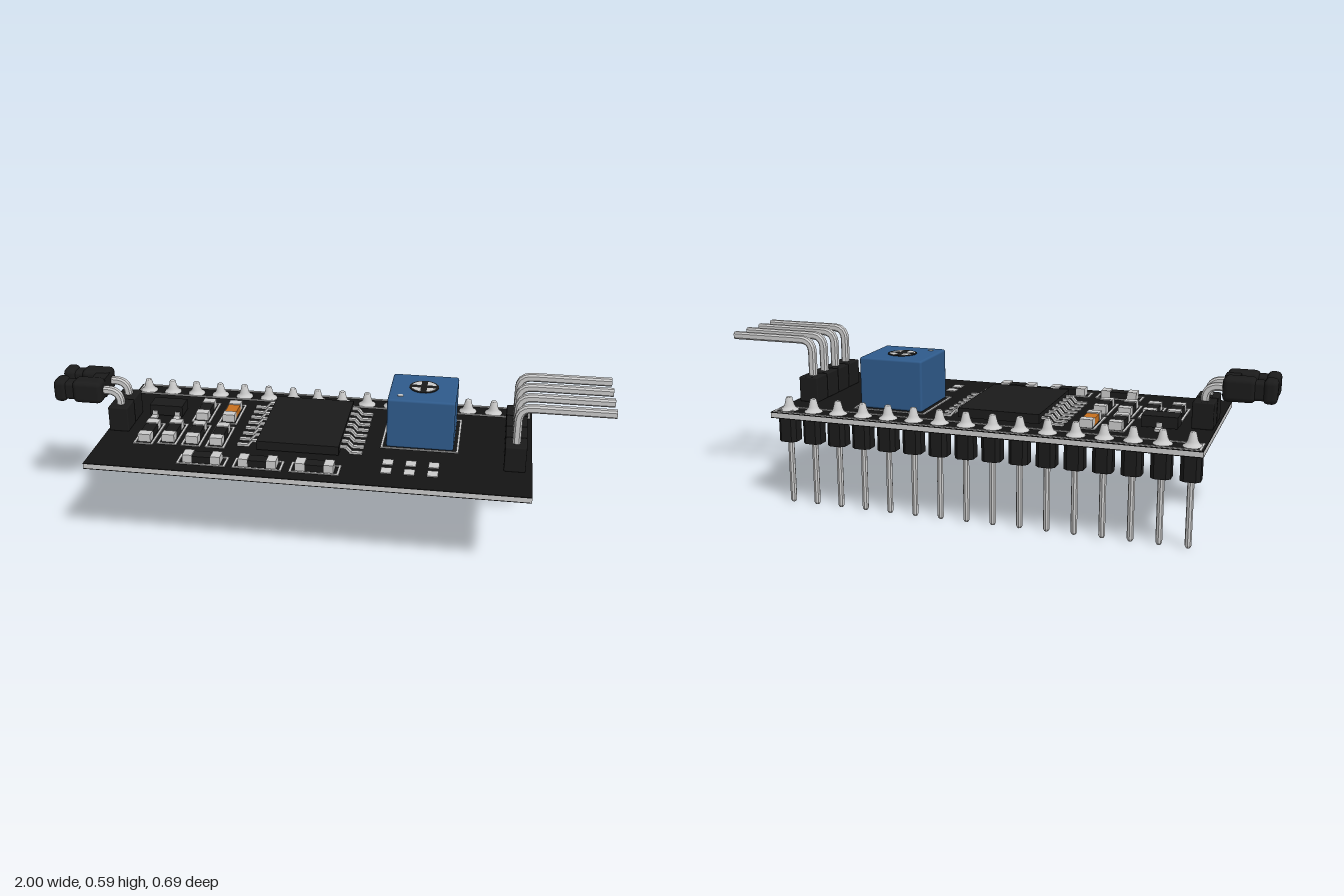
import * as THREE from 'three';
import { RoundedBoxGeometry } from 'three/addons/geometries/RoundedBoxGeometry.js';

const TOP = 0.348; // upper face of the board

export function createModel() {
  const model = new THREE.Group();
  const mat = (color, flatShading = false) => {
    const m = new THREE.MeshStandardMaterial({ color });
    m.flatShading = flatShading;
    return m;
  };
  const grey = mat(0xcccccc);
  const metal = mat(0xcccccc, true);
  const black = mat(0x1b1b1b);
  const boardBlack = mat(0x141414);
  const blue = mat(0x2f5b8c);
  const orange = mat(0xc8701e);

  function add(name, geometry, material, x = 0, y = 0, z = 0, parent = model) {
    const mesh = new THREE.Mesh(geometry, material);
    mesh.name = name;
    mesh.position.set(x, y, z);
    parent.add(mesh);
    return mesh;
  }
  // Box given by its centre in plan and the heights of its bottom and top
  const box = (name, material, x, z, w, d, y0, y1, parent) =>
    add(name, new THREE.BoxGeometry(w, y1 - y0, d), material, x, (y0 + y1) / 2, z, parent);
  const roundBox = (name, material, x, z, w, d, y0, y1, r) =>
    add(name, new RoundedBoxGeometry(w, y1 - y0, d, 2, r), material, x, (y0 + y1) / 2, z);
  // Thin printed rectangle outline on the board
  function outline(x, z, w, d, t = 0.008) {
    const s = new THREE.Shape();
    s.moveTo(-w / 2, -d / 2).lineTo(w / 2, -d / 2).lineTo(w / 2, d / 2).lineTo(-w / 2, d / 2).closePath();
    const h = new THREE.Path();
    const a = w / 2 - t, b = d / 2 - t;
    h.moveTo(-a, -b).lineTo(-a, b).lineTo(a, b).lineTo(a, -b).closePath();
    s.holes.push(h);
    const g = new THREE.ExtrudeGeometry(s, { depth: 0.003, bevelEnabled: false });
    g.rotateX(-Math.PI / 2);
    add('printedOutline', g, grey, x, TOP, z);
  }
  // Bar of octagonal section along a path with one rounded right-angle bend
  function bentPin(name, start, corner, end, bend, r) {
    const a = new THREE.Vector3(...start), c = new THREE.Vector3(...corner), e = new THREE.Vector3(...end);
    const toward = (p) => c.clone().add(p.clone().sub(c).setLength(bend));
    const path = new THREE.CurvePath();
    path.add(new THREE.LineCurve3(a, toward(a)));
    path.add(new THREE.QuadraticBezierCurve3(toward(a), c, toward(e)));
    path.add(new THREE.LineCurve3(toward(e), e));
    const k = r * 0.55;
    const s = new THREE.Shape([[r, k], [k, r], [-k, r], [-r, k], [-r, -k], [-k, -r], [k, -r], [r, -k]]
      .map(([x, y]) => new THREE.Vector2(x, y)));
    add(name, new THREE.ExtrudeGeometry(s, { steps: 36, extrudePath: path, bevelEnabled: false }), metal);
  }

  // Circuit board: light core with black faces
  const cx = -0.033;
  box('boardCore', grey, cx, -0.002, 1.544, 0.695, 0.329, 0.345);
  box('boardTop', boardBlack, cx, -0.002, 1.544, 0.695, 0.345, TOP);
  box('boardBottom', boardBlack, cx, -0.002, 1.544, 0.695, 0.326, 0.329);

  // Row of sixteen downward pins with solder cones
  const lathe = (pts, n) => new THREE.LatheGeometry(pts.map(([r, y]) => new THREE.Vector2(r, y)), n);
  const pinGeo = lathe([[0, 0], [0.007, 0], [0.0115, 0.008], [0.0115, 0.36], [0, 0.36]], 8);
  const solderGeo = lathe([[0.033, TOP], [0.032, 0.351], [0.023, 0.357], [0.018, 0.366], [0.011, 0.394], [0.008, 0.396], [0, 0.396]], 16);
  const c = 0.02, f = 0.034;
  const collarShape = new THREE.Shape([[f, c], [c, f], [-c, f], [-f, c], [-f, -c], [-c, -f], [c, -f], [f, -c]]
    .map(([x, y]) => new THREE.Vector2(x, y)));
  const collarGeo = new THREE.ExtrudeGeometry(collarShape, { depth: 0.091, bevelEnabled: false });
  collarGeo.rotateX(-Math.PI / 2);
  for (let i = 0; i < 16; i++) {
    const x = -0.762 + i * 0.0969, z = -0.297;
    add('headerPin', pinGeo, metal, x, 0, z);
    add('headerCollar', collarGeo, black, x, 0.235, z);
    add('solderJoint', solderGeo, grey, x, 0, z);
  }
  box('squarePad', grey, 0.692, -0.297, 0.052, 0.052, TOP, 0.352);
  outline(cx, -0.304, 1.53, 0.085);

  // Four-way angled connector
  for (let i = 0; i < 4; i++) {
    const z = 0.135 - i * 0.0895;
    roundBox('connectorBlock', black, 0.678, z, 0.074, 0.084, TOP, 0.442, 0.005);
    bentPin('connectorPin', [0.678, 0.36, z], [0.678, 0.573, z], [1, 0.573, z], 0.045, 0.0138);
  }

  // Two-way angled connector with a forked jumper cap
  for (const side of [-1, 1]) {
    const z = -0.005 + side * 0.045;
    roundBox('jumperBlock', black, -0.76, z, 0.074, 0.084, TOP, 0.442, 0.005);
    bentPin('jumperPin', [-0.76, 0.36, z], [-0.76, 0.492, z], [-0.9, 0.492, z], 0.045, 0.0138);
    const t = -0.005 + side * 0.052;
    roundBox('jumperTip', black, -0.976, t, 0.048, 0.072, 0.449, 0.533, 0.018);
    roundBox('jumperNeck', black, -0.943, t, 0.06, 0.056, 0.458, 0.524, 0.012);
    roundBox('jumperTine', black, -0.874, t, 0.11, 0.072, 0.449, 0.533, 0.018);
  }
  box('jumperBridge', black, -0.845, -0.005, 0.05, 0.06, 0.455, 0.528);

  // Blue trimmer with a cross-slotted dial
  const tx = 0.342, tz = -0.066;
  roundBox('trimmerBody', blue, tx, tz, 0.24, 0.238, TOP, 0.534, 0.008);
  outline(tx, -0.072, 0.278, 0.274);
  add('trimmerRecess', new THREE.CylinderGeometry(0.053, 0.053, 0.003, 32), black, tx, 0.5345, -0.073);
  const quadrant = new THREE.Shape();
  quadrant.moveTo(0.011, 0.011).lineTo(0.044, 0.011).absarc(0, 0, 0.0455, 0.244, 1.327, false).lineTo(0.011, 0.011);
  const quadrantGeo = new THREE.ExtrudeGeometry(quadrant, { depth: 0.002, bevelEnabled: false, curveSegments: 8 });
  quadrantGeo.rotateX(-Math.PI / 2);
  for (let i = 0; i < 4; i++) {
    add('trimmerDial', quadrantGeo, grey, tx, 0.535, -0.073).rotation.y = i * Math.PI / 2;
  }
  add('trimmerMark', new THREE.CylinderGeometry(0.01, 0.01, 0.004, 16), grey, 0.265, 0.534, 0.013);

  // Main chip with gull-wing legs on both sides
  box('chipBody', black, -0.08, -0.033, 0.294, 0.39, 0.356, 0.389);
  const leg = new THREE.Shape([[0, 0.375], [0.025, 0.375], [0.042, 0.356], [0.08, 0.356], [0.08, 0.349],
    [0.037, 0.349], [0.021, 0.368], [0, 0.368]].map(([x, y]) => new THREE.Vector2(x, y)));
  const legGeo = new THREE.ExtrudeGeometry(leg, { depth: 0.016, bevelEnabled: false });
  legGeo.translate(0, 0, -0.008);
  for (let i = 0; i < 8; i++) {
    const z = -0.198 + i * 0.0459;
    add('chipLeg', legGeo, grey, 0.066, 0, z);
    add('chipLeg', legGeo, grey, -0.226, 0, z).rotation.y = Math.PI;
  }

  // Two-terminal surface parts: metal ends, coloured middle, printed outline
  function chipPart(x, z, turned, middle = black) {
    const size = (l, w) => (turned ? [w, l] : [l, w]);
    box('partMiddle', middle, x, z, ...size(0.08, 0.044), TOP, 0.373);
    for (const s of [-1, 1]) {
      const o = s * 0.05;
      box('partTerminal', grey, x + (turned ? 0 : o), z + (turned ? o : 0), ...size(0.034, 0.046), TOP, 0.377);
    }
    outline(x, z, ...size(0.174, 0.072));
  }
  for (const x of [-0.398, -0.2, 0]) chipPart(x, 0.26, false);
  chipPart(-0.484, -0.125, true);
  chipPart(-0.382, -0.125, true, orange);
  chipPart(-0.644, 0.083, true);
  for (const x of [-0.559, -0.471, -0.382]) chipPart(x, 0.072, true);

  // Three-legged transistor
  box('transistorBody', black, -0.623, -0.1, 0.125, 0.072, 0.354, 0.394);
  for (const [x, z] of [[-0.623, -0.15], [-0.666, -0.05], [-0.58, -0.05]]) {
    box('transistorLeg', grey, x, z, 0.024, 0.034, TOP, 0.356);
    box('transistorShoulder', grey, x, z + (z < -0.1 ? 0.016 : -0.016), 0.018, 0.012, 0.352, 0.372);
  }

  // Address solder pads
  for (const x of [0.243, 0.323, 0.403]) {
    for (const z of [0.172, 0.235]) box('solderPad', grey, x, z, 0.037, 0.04, TOP, 0.351);
  }
  return model;
}
